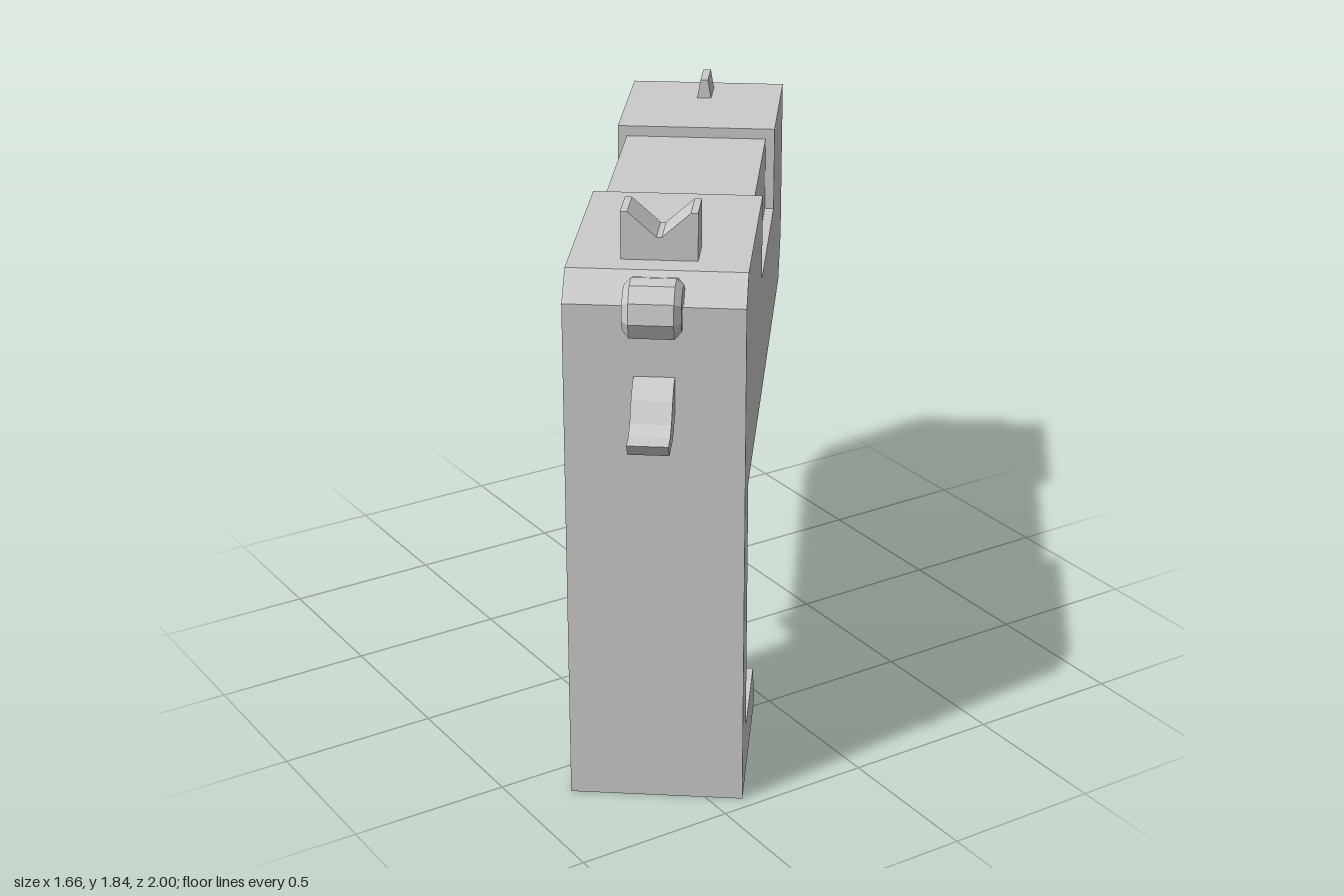
import * as THREE from 'three';

const material = new THREE.MeshStandardMaterial({ color: 0xcccccc, flatShading: true });
const toShape = (pts) => new THREE.Shape(pts.map(([x, y]) => new THREE.Vector2(x, y)));

// Local frame: +x towards the muzzle, y up, z across the width.
// Side profile (x, y) extruded symmetrically across the width.
function sideExtrude(name, pts, width, bevel = 0) {
  const geo = new THREE.ExtrudeGeometry(toShape(pts), {
    depth: width - 2 * bevel, bevelEnabled: bevel > 0, bevelSegments: 1,
    bevelSize: bevel, bevelOffset: -bevel, bevelThickness: bevel,
  });
  geo.translate(0, 0, bevel - width / 2);
  const mesh = new THREE.Mesh(geo, material);
  mesh.name = name;
  return mesh;
}

// End profile (z, y) extruded along the length from x0 to x1, with an optional hole.
function endExtrude(name, pts, x0, x1, hole) {
  const shape = toShape(pts);
  if (hole) shape.holes.push(toShape(hole));
  const geo = new THREE.ExtrudeGeometry(shape, { depth: x1 - x0, bevelEnabled: false });
  geo.rotateY(-Math.PI / 2);
  geo.translate(x1, 0, 0);
  const mesh = new THREE.Mesh(geo, material);
  mesh.name = name;
  return mesh;
}

const rect = (half, y0, y1) => [[-half, y0], [half, y0], [half, y1], [-half, y1]];

export function createModel() {
  const model = new THREE.Group();
  model.name = 'toyPistol';
  const width = 0.53;

  // Full-width frame: slide with port notch, back strap and flared grip base
  model.add(sideExtrude('frame', [
    [-1.024, 0], [-0.43, 0], [-0.496, 0.165], [-0.873, 0.165], [-0.873, 1], [0.89, 1],
    [1.024, 1.13], [0.985, 1.13], [0.985, 1.69], [0.469, 1.69], [0.469, 1.41],
    [-0.239, 1.41], [-0.239, 1.69], [-0.94, 1.69], [-1.024, 1.61],
  ], width));

  // Inset grip panel and inset port block
  model.add(sideExtrude('gripCore',
    [[-0.88, 0.16], [-0.533, 0.16], [-0.533, 1.005], [-0.88, 1.005]], 0.48));
  model.add(sideExtrude('portBlock',
    [[-0.245, 1.4], [0.475, 1.4], [0.475, 1.655], [-0.245, 1.655]], 0.47));

  // Front plate and square muzzle frame share the bore opening
  const bore = rect(0.125, 1.385, 1.545);
  model.add(endExtrude('frontPlate', rect(width / 2, 1.13, 1.69), 0.985, 1.024, bore));
  model.add(endExtrude('muzzleFrame', rect(0.17, 1.335, 1.59), 1.024, 1.1, bore));

  // Sights
  model.add(endExtrude('rearSight', [
    [-0.113, 1.68], [0.113, 1.68], [0.113, 1.835], [0.092, 1.835],
    [0.008, 1.76], [-0.008, 1.76], [-0.092, 1.835], [-0.113, 1.835],
  ], -0.857, -0.72));
  model.add(endExtrude('frontSight',
    [[-0.026, 1.68], [0.026, 1.68], [0.013, 1.755], [-0.013, 1.755]], 0.824, 0.96));

  // Curved trigger
  model.add(sideExtrude('trigger', [
    [-0.37, 1.01], [-0.37, 0.88], [-0.355, 0.81], [-0.32, 0.74], [-0.26, 0.66],
    [-0.175, 0.66], [-0.208, 0.75], [-0.225, 0.83], [-0.21, 0.92], [-0.178, 1.01],
  ], 0.18));

  // Hooked hammer with bevelled sides
  model.add(sideExtrude('hammer', [
    [-0.96, 1.6], [-0.97, 1.68], [-1.02, 1.695], [-1.075, 1.69], [-1.115, 1.65],
    [-1.125, 1.59], [-1.1, 1.54], [-1.03, 1.54], [-1.05, 1.6],
  ], 0.17, 0.02));

  // Rear tang curling outward
  model.add(sideExtrude('tang', [
    [-1, 1.4], [-1.06, 1.385], [-1.1, 1.35], [-1.14, 1.295], [-1.18, 1.272], [-1.235, 1.268],
    [-1.21, 1.23], [-1.11, 1.23], [-1.06, 1.25], [-1.03, 1.29], [-1, 1.33],
  ], 0.12));

  // Turn to its resting heading
  model.rotation.y = 0.921;
  model.position.z = -0.02;
  const root = new THREE.Group();
  root.add(model);
  return root;
}
